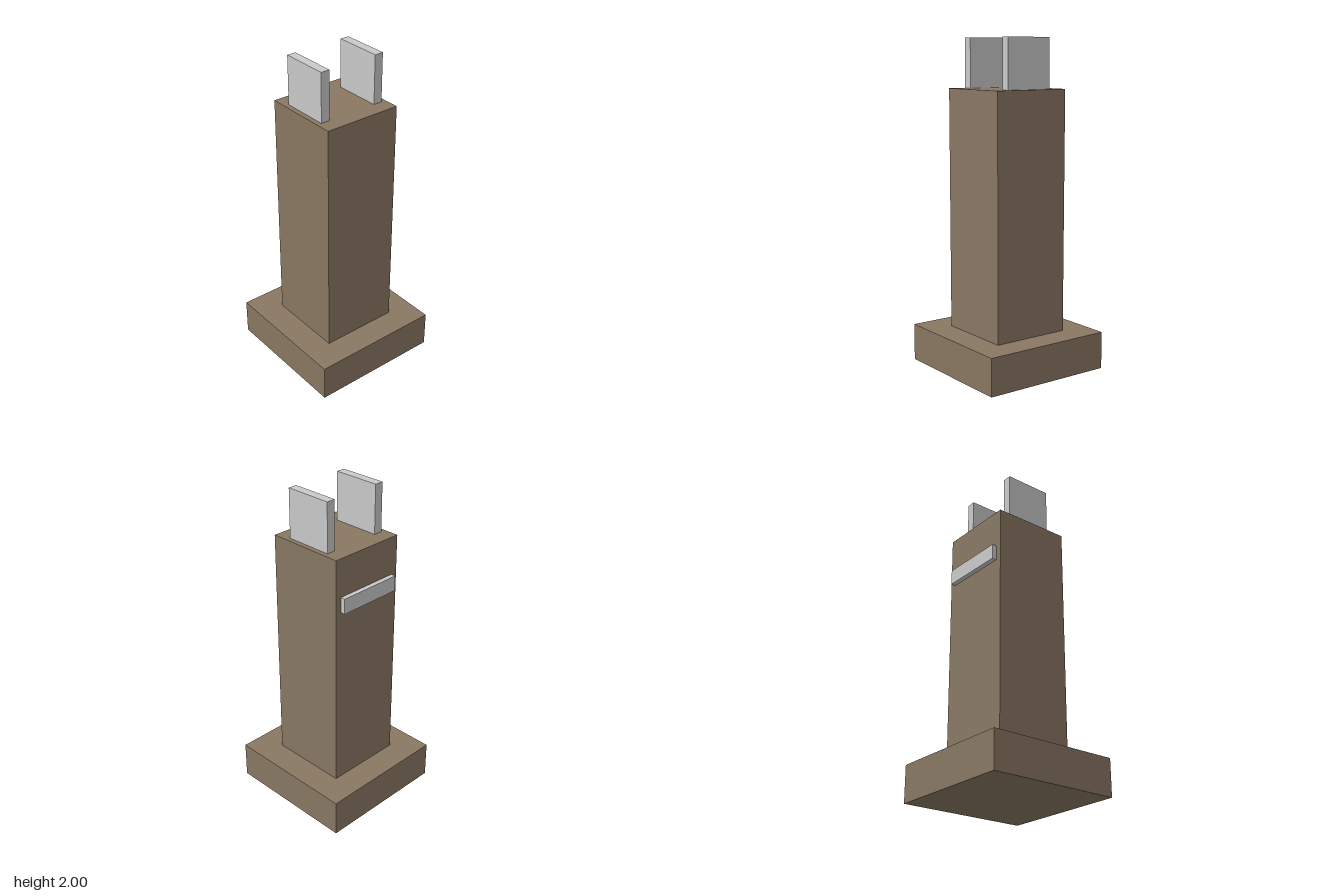
import * as THREE from 'three';

export function createModel() {
  const model = new THREE.Group();
  const brown = new THREE.MeshStandardMaterial({ color: 0x887762 });
  brown.name = 'brown timber';
  const grey = new THREE.MeshStandardMaterial({ color: 0xc9c9c9 });
  grey.name = 'light grey metal';

  // Box given by its size, its centre in x and z, and its bottom height
  function box(name, material, [w, h, d], [x, bottom, z]) {
    const mesh = new THREE.Mesh(new THREE.BoxGeometry(w, h, d), material);
    mesh.name = name;
    mesh.position.set(x, bottom + h / 2, z);
    model.add(mesh);
  }

  // Square foot and post
  box('base', brown, [0.829, 0.228, 0.829], [0, 0, 0]);
  box('post', brown, [0.492, 1.472, 0.492], [0, 0.228, 0]);

  // Pair of upright plates on top of the post
  for (const [name, side] of [['leftPlate', 1], ['rightPlate', -1]]) {
    box(name, grey, [0.056, 0.3, 0.3], [side * 0.188, 1.7, 0]);
  }

  // Bar across the back of the post
  box('backBar', grey, [0.415, 0.095, 0.029], [0, 1.37, -0.2605]);

  return model;
}
